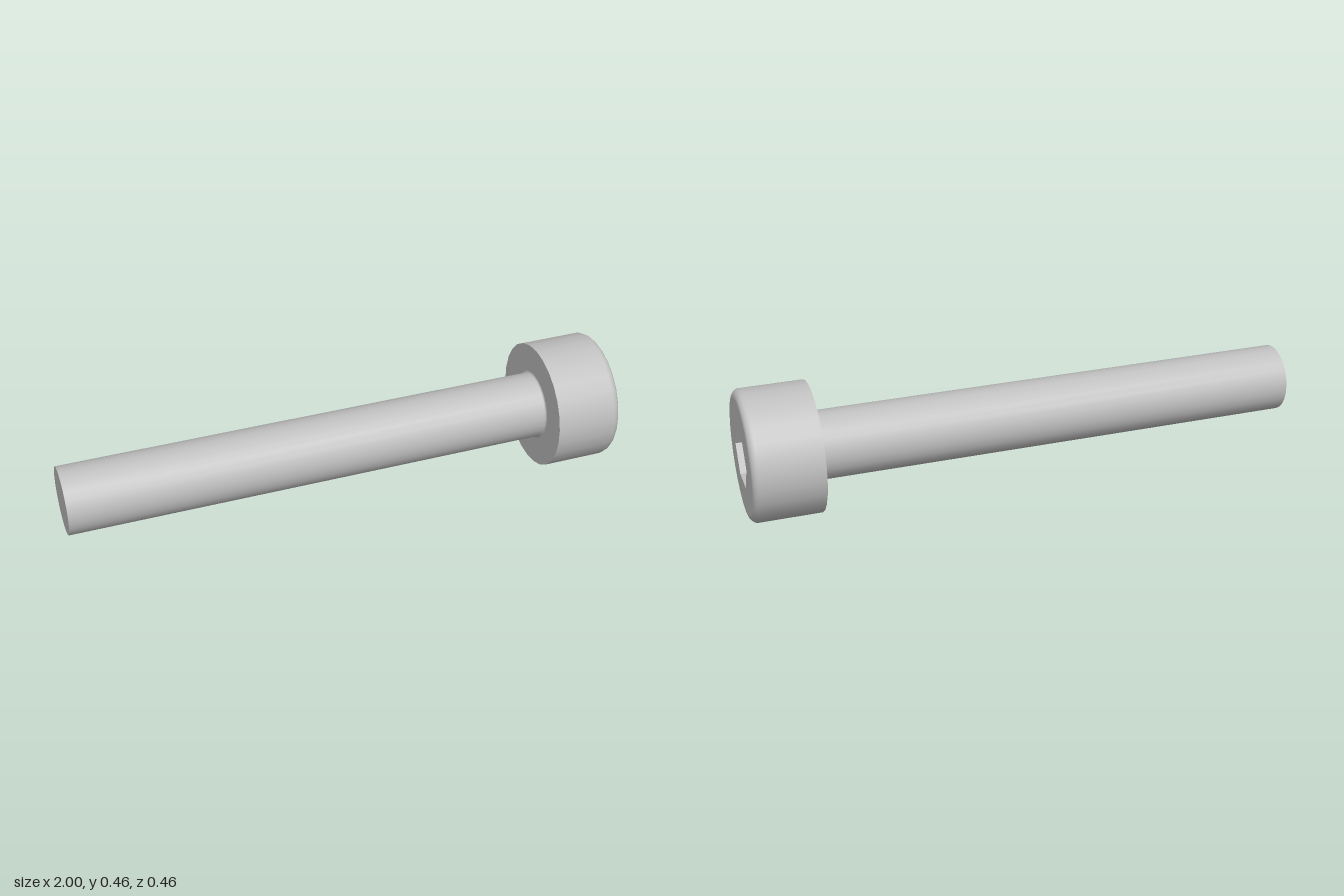
import * as THREE from 'three';

const SIDES = 26;
const HEAD_R = 0.23, SHAFT_R = 0.12, HEAD_X = 0.755, EDGE = 0.026, NECK = 0.008;
const HEX_R = 0.107, BORE_R = 0.092, DEPTH = 0.12, TIP = 0.054;

// regular polygon outline, optionally turned
function polygon(r, n, turn = 0) {
  return Array.from({ length: n }, (_, i) => {
    const a = turn + (i / n) * Math.PI * 2;
    return new THREE.Vector2(r * Math.cos(a), r * Math.sin(a));
  });
}

// flat face with a hole, across the x axis, facing +x (dir 1) or -x (dir -1)
function flatFace(outer, hole, x, dir) {
  const shape = new THREE.Shape(outer);
  if (hole) shape.holes.push(new THREE.Path(hole));
  return new THREE.ShapeGeometry(shape).rotateY(dir * Math.PI / 2).translate(x, 0, 0);
}

// surface turned about the x axis from [radius, x] points
function turned(points) {
  const profile = points.map(([r, x]) => new THREE.Vector2(r, x));
  return new THREE.LatheGeometry(profile, SIDES, Math.PI / 2).rotateZ(-Math.PI / 2);
}

// quarter-round of [radius, x] points
function arc(cr, cx, radius, from, to, n = 6) {
  return Array.from({ length: n + 1 }, (_, i) => {
    const a = from + (to - from) * i / n;
    return [cr + radius * Math.cos(a), cx + radius * Math.sin(a)];
  });
}

export function createModel() {
  const steel = new THREE.MeshStandardMaterial({ color: 0xc0c0c0 });
  steel.name = 'steel grey';
  const bolt = new THREE.Group();
  bolt.name = 'bolt';
  const add = (name, geometry) => {
    const mesh = new THREE.Mesh(geometry, steel);
    mesh.name = name;
    bolt.add(mesh);
  };
  const ring = (r) => polygon(r, SIDES, Math.PI / 2);
  const hex = polygon(HEX_R, 6);

  // shaft with a small fillet under the head
  add('shaft', turned([
    [SHAFT_R, -1], [SHAFT_R, HEAD_X - NECK - 0.002],
    ...arc(SHAFT_R + NECK, HEAD_X - NECK, NECK, Math.PI, Math.PI / 2, 4),
  ]));
  add('shaftEnd', flatFace(ring(SHAFT_R), null, -1, -1));

  // head with a rounded front edge
  add('headUnderside', flatFace(ring(HEAD_R), ring(SHAFT_R + NECK), HEAD_X, -1));
  add('headSide', turned([
    [HEAD_R, HEAD_X], [HEAD_R, 1 - EDGE - 0.002],
    ...arc(HEAD_R - EDGE, 1 - EDGE, EDGE, 0, Math.PI / 2),
  ]));
  add('headFace', flatFace(ring(HEAD_R - EDGE), hex, 1, 1));

  // hexagonal socket: inward-facing walls, floor rim and drilled cone
  const walls = new THREE.CylinderGeometry(HEX_R, HEX_R, DEPTH, 6, 1, true)
    .scale(1, 1, -1).rotateZ(-Math.PI / 2).translate(1 - DEPTH / 2, 0, 0).toNonIndexed();
  walls.computeVertexNormals();
  add('socketWalls', walls);
  add('socketFloor', flatFace(hex, ring(BORE_R), 1 - DEPTH, 1));
  add('socketCone', turned([[BORE_R, 1 - DEPTH], [0, 1 - DEPTH - TIP]]));

  bolt.position.y = HEAD_R;
  const model = new THREE.Group();
  model.name = 'socketHeadBolt';
  model.add(bolt);
  return model;
}
